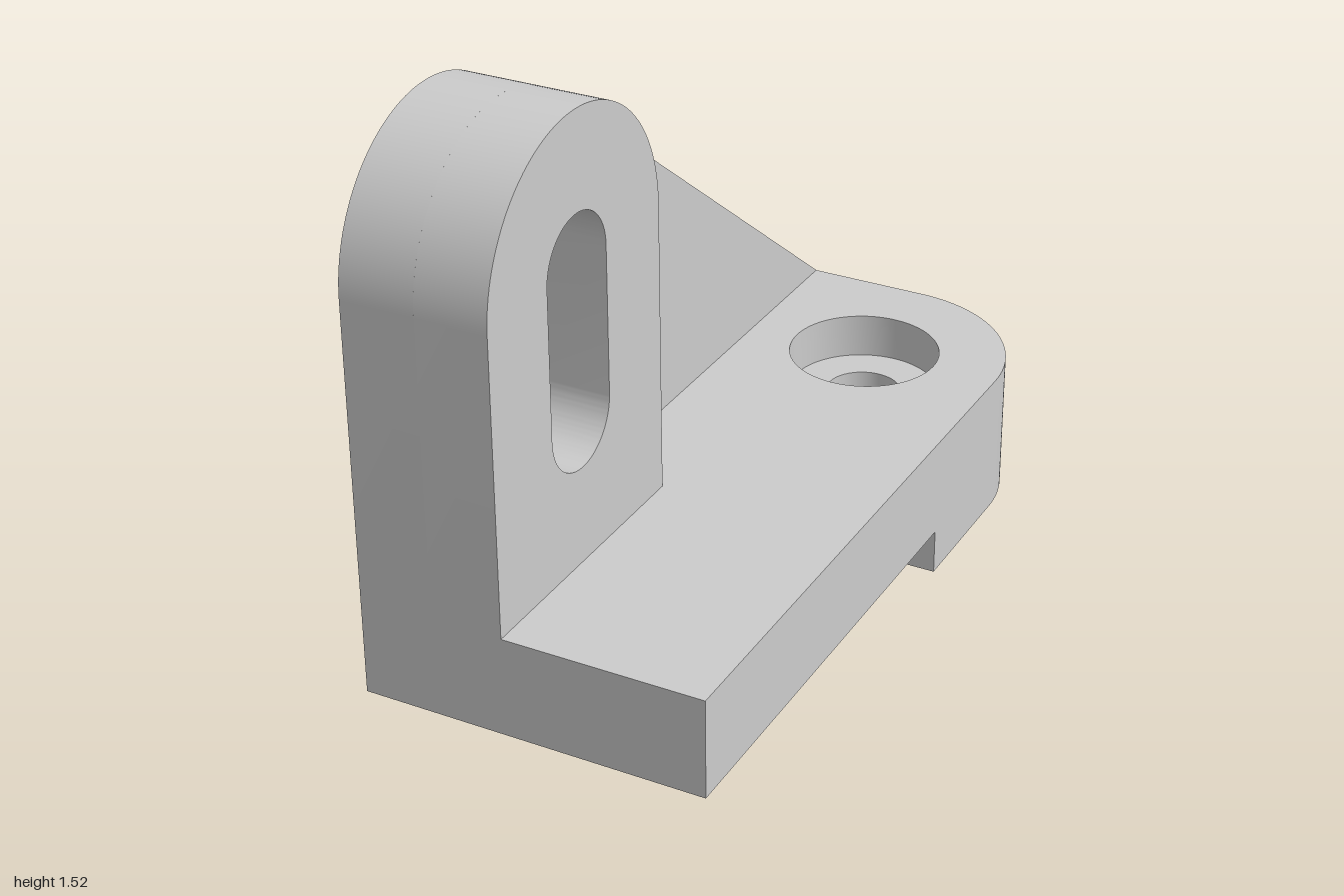
import * as THREE from 'three';
import { toCreasedNormals } from 'three/addons/utils/BufferGeometryUtils.js';

const W = 0.447;              // half width of the base
const R = 0.377;              // radius of lug top and base corner
const BASE_TOP = 0.38;
const LUG_Z = 0.623, LUG_Y = 1.143;   // centre of the rounded lug top
const BORE_X = W - R, BORE_Z = -0.623; // bolt hole, concentric with the corner
const STEP_Y = 0.12, SEAT_Y = 0.26;    // underside step, counterbore floor

const material = new THREE.MeshStandardMaterial({ color: 0xcccccc });

function extrude(name, shape, depth) {
  const geo = new THREE.ExtrudeGeometry(shape, { depth, bevelEnabled: false, curveSegments: 32 });
  const mesh = new THREE.Mesh(toCreasedNormals(geo, 0.5), material);
  mesh.name = name;
  return mesh;
}

// Horizontal slab of the base, seen in plan, with a round hole
function slab(name, y0, y1, zFront, holeRadius) {
  const s = new THREE.Shape();
  s.moveTo(-W, -zFront);
  s.lineTo(W, -zFront);
  s.lineTo(W, 1 - R);
  s.absarc(W - R, 1 - R, R, 0, Math.PI / 2, false);
  s.lineTo(-W, 1);
  s.closePath();
  s.holes.push(new THREE.Path().absarc(BORE_X, -BORE_Z, holeRadius, 0, Math.PI * 2, true));
  const mesh = extrude(name, s, y1 - y0);
  mesh.rotation.x = -Math.PI / 2;
  mesh.position.y = y0;
  return mesh;
}

// Upright slab in the z-y plane with the slot cut through it
function upright(name, x0, x1, withRib) {
  const s = new THREE.Shape();
  s.moveTo(1, BASE_TOP);
  s.lineTo(1, LUG_Y);
  if (withRib) {
    // Sloping edge runs tangent to the rounded top, down to the back edge
    const dz = LUG_Z + 1, dy = LUG_Y - BASE_TOP;
    const slope = Math.atan2(dy, dz) + Math.asin(R / Math.hypot(dz, dy));
    s.absarc(LUG_Z, LUG_Y, R, 0, slope + Math.PI / 2, false);
    s.lineTo(-1, BASE_TOP);
  } else {
    s.absarc(LUG_Z, LUG_Y, R, 0, Math.PI, false);
    s.lineTo(LUG_Z - R, BASE_TOP);
  }
  s.closePath();
  const slot = new THREE.Path();
  slot.absarc(LUG_Z, LUG_Y, 0.13, 0, Math.PI, false);
  slot.absarc(LUG_Z, 0.76, 0.13, Math.PI, Math.PI * 2, false);
  slot.closePath();
  s.holes.push(slot);
  const mesh = extrude(name, s, x1 - x0);
  mesh.rotation.y = -Math.PI / 2;
  mesh.position.x = x1;
  return mesh;
}

export function createModel() {
  const group = new THREE.Group();
  group.name = 'angleBracket';
  group.add(
    slab('foot', 0, STEP_Y, -0.255, 0.1),
    slab('basePlate', STEP_Y, SEAT_Y, 1, 0.1),
    slab('counterboredPlate', SEAT_Y, BASE_TOP, 1, 0.2),
    upright('ribWall', -W, -0.255, true),
    upright('slottedLug', -0.255, -0.07, false),
  );
  return group;
}
